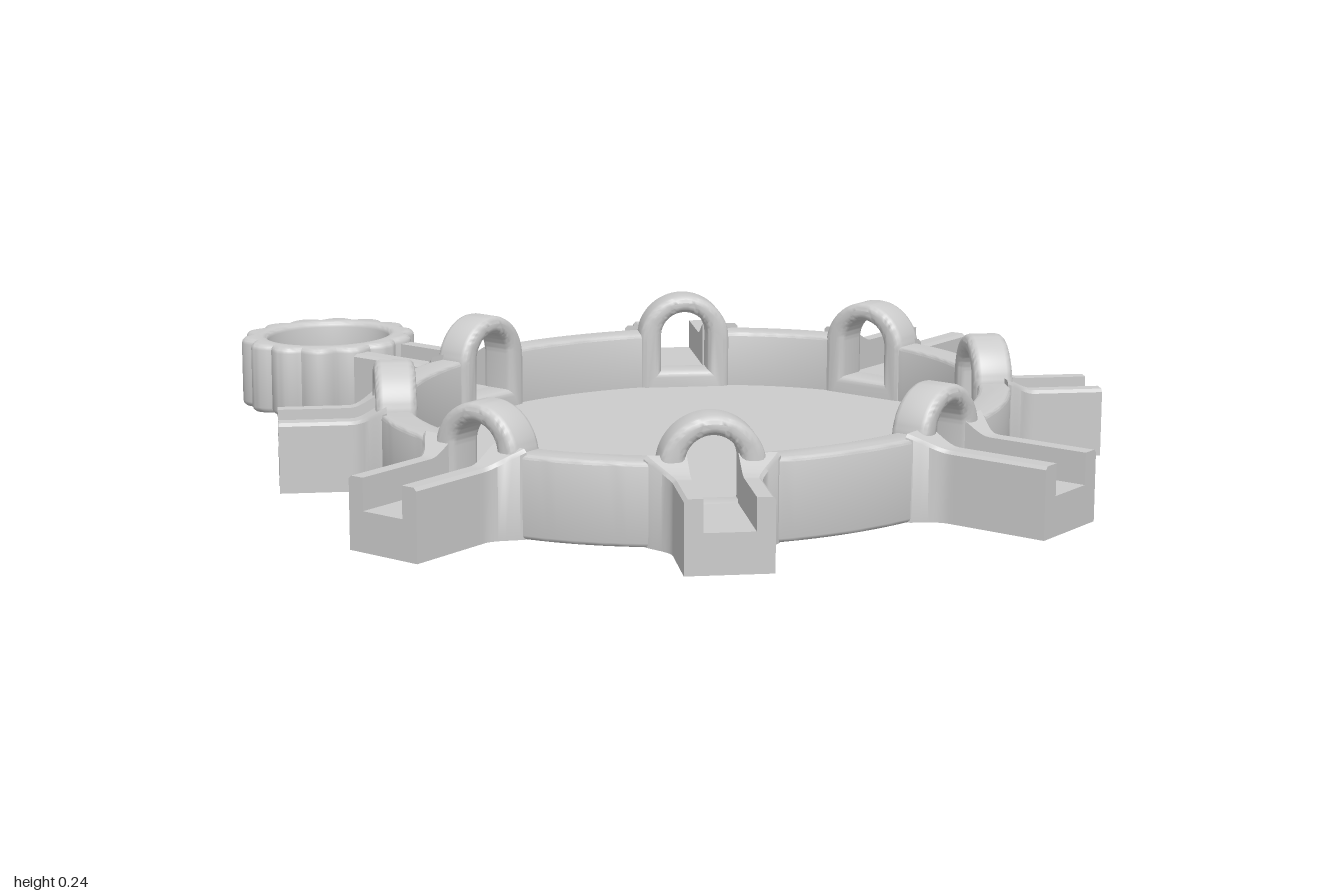
import * as THREE from 'three';
import { toCreasedNormals } from 'three/addons/utils/BufferGeometryUtils.js';

const material = new THREE.MeshStandardMaterial({ color: 0xcccccc });
const CX = 0.16;          // centre of the oval dish
const FLOOR = 0.04;       // floor thickness
const CHANNEL = 0.075;    // height of the channel floors
const smoothstep = (t) => t * t * (3 - 2 * t);

function mesh(name, geometry, crease = 0.6) {
  const m = new THREE.Mesh(toCreasedNormals(geometry, crease), material);
  m.name = name;
  return m;
}

// Extrude with a small rounded edge that stays inside the given depth and outline
function extrude(shape, depth, bevel) {
  const g = new THREE.ExtrudeGeometry(shape, {
    depth: depth - 2 * bevel, bevelEnabled: bevel > 0, bevelSize: bevel,
    bevelThickness: bevel, bevelOffset: -bevel, bevelSegments: 3, curveSegments: 20,
  });
  return g.translate(0, 0, bevel);
}

// Plan outline extruded upwards
function slab(shape, height, bevel) {
  return extrude(shape, height, bevel).rotateX(-Math.PI / 2);
}

// Points of an oval between two angles, with optional scallops
function oval(rx, rz, a0, a1, n, lobes = 0, amp = 0) {
  return Array.from({ length: n + 1 }, (_, i) => {
    const a = a0 + (a1 - a0) * i / n;
    const k = lobes ? 1 - amp * (1 - Math.abs(Math.cos(a * lobes / 2))) : 1;
    return new THREE.Vector2(rx * k * Math.cos(a), rz * k * Math.sin(a));
  });
}

// Arch over each opening, with legs and a sill
function archGeometry() {
  const R = 0.096, r = 0.05, cy = 0.14, depth = 0.078;
  const s = new THREE.Shape();
  s.moveTo(-R, 0);
  s.lineTo(R, 0);
  s.lineTo(R, cy);
  s.absarc(0, cy, R, 0, Math.PI, false);
  s.lineTo(-R, 0);
  const h = new THREE.Path();
  h.moveTo(-r, CHANNEL);
  h.lineTo(-r, cy + 0.01);
  h.absarc(0, cy + 0.01, r, Math.PI, 0, true);
  h.lineTo(r, CHANNEL);
  h.lineTo(-r, CHANNEL);
  s.holes.push(h);
  return extrude(s, depth, 0.014).translate(0, 0, -depth / 2);
}

// U-shaped channel that flares and rises where it meets the wall
function armGeometry(half, inner, length) {
  const top = 0.135;
  const s = new THREE.Shape([
    [-half, 0], [half, 0], [half, top - 0.006], [half - 0.006, top], [inner, top], [inner, CHANNEL],
    [-inner, CHANNEL], [-inner, top], [-half + 0.006, top], [-half, top - 0.006],
  ].map(([x, y]) => new THREE.Vector2(x, y)));
  const g = new THREE.ExtrudeGeometry(s, { depth: length - 0.02, steps: 24, bevelEnabled: false });
  g.translate(0, 0, 0.02);
  const p = g.attributes.position;
  for (let i = 0; i < p.count; i++) {
    const x = p.getX(i), y = p.getY(i);
    const f = smoothstep(Math.max(0, 1 - p.getZ(i) / 0.085));
    if (Math.abs(x) > inner + 0.001) p.setX(i, x + Math.sign(x) * 0.05 * f);
    if (y > CHANNEL + 0.01) p.setY(i, y + 0.035 * f);
  }
  return g;
}

export function createModel() {
  const model = new THREE.Group();
  model.name = 'dishWithChannels';

  // Dish floor
  const floor = mesh('dishFloor', new THREE.CylinderGeometry(0.565, 0.575, FLOOR, 96)
    .scale(1, 1, 0.635 / 0.565).translate(CX, FLOOR / 2, 0));
  model.add(floor);

  // Eight openings: oval angle, facing angle, half width, channel half width, length
  const openings = [];
  for (let i = 0; i < 8; i++) {
    const diagonal = i % 2 === 1, alongX = i % 4 === 0;
    const facing = i * Math.PI / 4;
    const x = 0.552 * (diagonal ? Math.sign(Math.cos(facing)) * 0.68 : Math.cos(facing));
    const z = 0.625 * (diagonal ? Math.sign(Math.sin(facing)) * 0.733 : Math.sin(facing));
    openings.push({
      x, z, facing,
      oval: Math.atan2(z / 0.625, x / 0.552),
      half: alongX ? 0.089 : 0.079,
      inner: alongX ? 0.052 : 0.046,
      length: diagonal ? 0.222 : alongX ? 0.287 : 0.265,
      shift: diagonal || alongX ? 0 : -0.013,
    });
  }

  // Rim wall between the openings
  const clear = 0.075;
  openings.forEach((o, i) => {
    const next = openings[(i + 1) % 8];
    let end = next.oval;
    while (end < o.oval) end += 2 * Math.PI;
    const gap = (q) => clear / Math.hypot(0.552 * Math.sin(q.oval), 0.625 * Math.cos(q.oval));
    const a0 = o.oval + gap(o), a1 = end - gap(next);
    const outline = oval(0.592, 0.662, a0, a1, 16).concat(oval(0.53, 0.598, a0, a1, 16).reverse());
    const wall = mesh('rimWall', slab(new THREE.Shape(outline), 0.155, 0.008));
    wall.rotation.x = Math.PI;               // flip so plan angles run with +z
    wall.position.set(CX, 0.155, 0);
    model.add(wall);
  });

  // Arches and channel arms
  const arch = archGeometry();
  for (const o of openings) {
    const spoke = new THREE.Group();
    spoke.name = 'spoke';
    spoke.position.set(CX + o.x, 0, o.z);
    spoke.rotation.y = Math.PI / 2 - o.facing;
    spoke.add(mesh('arch', arch));
    const arm = mesh('channelArm', armGeometry(o.half, o.inner, o.length));
    arm.position.x = o.shift * Math.sin(o.facing);
    spoke.add(arm);
    model.add(spoke);
  }

  // Scalloped cup at the end of the left-hand arm
  const cup = new THREE.Group();
  cup.name = 'scallopedCup';
  cup.position.set(-0.823, 0, 0);
  const full = 2 * Math.PI;
  const rim = new THREE.Shape(oval(0.178, 0.192, 0, full, 140, 14, 0.09).slice(0, -1));
  rim.holes.push(new THREE.Path(oval(0.124, 0.136, 0, full, 60).slice(0, -1).reverse()));
  cup.add(mesh('cupWall', slab(rim, 0.148, 0.012), 0.7));
  cup.add(mesh('cupFloor', new THREE.CylinderGeometry(0.145, 0.145, FLOOR, 48)
    .scale(1, 1, 1.09).translate(0, FLOOR / 2, 0)));
  model.add(cup);

  return model;
}
